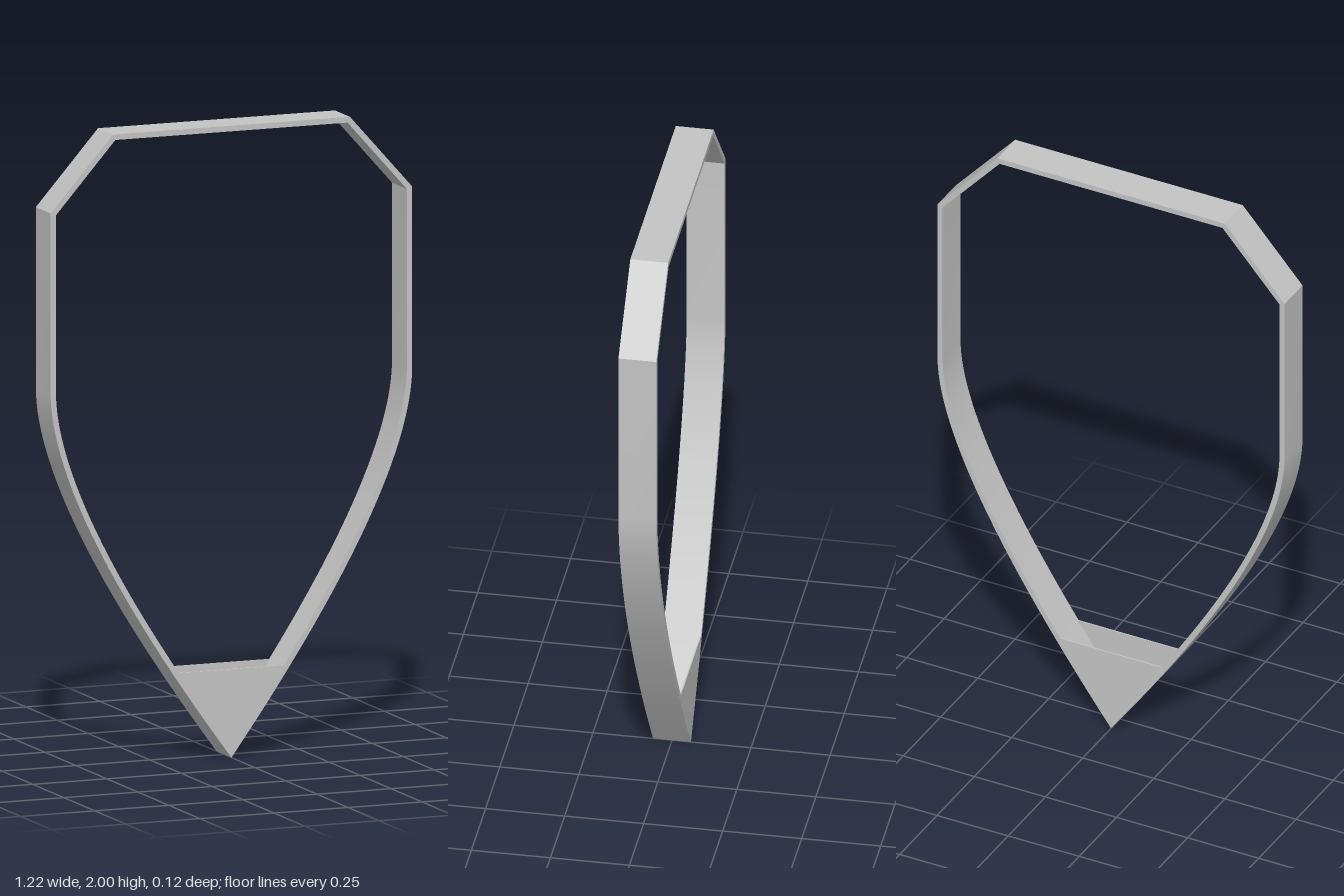
import * as THREE from 'three';
import { toCreasedNormals } from 'three/addons/utils/BufferGeometryUtils.js';

const DEPTH = 0.12, WALL = 0.018, POCKET_TOP = 0.28, PLATE = 0.004;

// Closed outline, counter-clockwise from the bottom tip
function outline() {
  const side = new THREE.QuadraticBezierCurve(
    new THREE.Vector2(0, 0), new THREE.Vector2(0.595, 0.8), new THREE.Vector2(0.61, 1.18)
  ).getPoints(28);
  side.push(new THREE.Vector2(0.61, 1.765), new THREE.Vector2(0.4, 2));
  const mirrored = side.slice(1).reverse().map(p => new THREE.Vector2(-p.x, p.y));
  return [...side, ...mirrored];
}

// Mitred inward offset of a closed outline
function inset(points, d) {
  const n = points.length;
  return points.map((p, i) => {
    const a = p.clone().sub(points[(i + n - 1) % n]).normalize();
    const b = points[(i + 1) % n].clone().sub(p).normalize();
    const na = new THREE.Vector2(-a.y, a.x), nb = new THREE.Vector2(-b.y, b.x);
    return p.clone().addScaledVector(na.clone().add(nb), d / (1 + na.dot(nb)));
  });
}

function extrude(shape, depth) {
  const g = new THREE.ExtrudeGeometry(shape, { depth, bevelEnabled: false });
  return toCreasedNormals(g.translate(0, 0, -depth / 2), 0.2);
}

export function createModel() {
  const group = new THREE.Group();
  const metal = new THREE.MeshStandardMaterial({ color: 0xc4c4c4 });
  metal.name = 'light grey';

  const add = (name, geometry, z = 0) => {
    const mesh = new THREE.Mesh(geometry, metal);
    mesh.name = name;
    mesh.position.z = z;
    group.add(mesh);
  };

  // Thin shield-shaped band
  const outer = outline(), inner = inset(outer, WALL);
  const band = new THREE.Shape(outer);
  band.holes.push(new THREE.Path(inner));
  add('frame', extrude(band, DEPTH));

  // Front and back plates closing the hollow pocket at the tip
  const right = inner.filter(p => p.x >= -1e-6 && p.y < POCKET_TOP);
  const next = inner[right.length], last = right[right.length - 1];
  const t = (POCKET_TOP - last.y) / (next.y - last.y);
  right.push(last.clone().lerp(next, t));
  const left = right.slice(1).reverse().map(p => new THREE.Vector2(-p.x, p.y));
  const plate = extrude(new THREE.Shape([...right, ...left]), PLATE);
  for (const [name, s] of [['frontTipPlate', 1], ['backTipPlate', -1]]) {
    add(name, plate, s * (DEPTH - PLATE) / 2);
  }
  return group;
}
